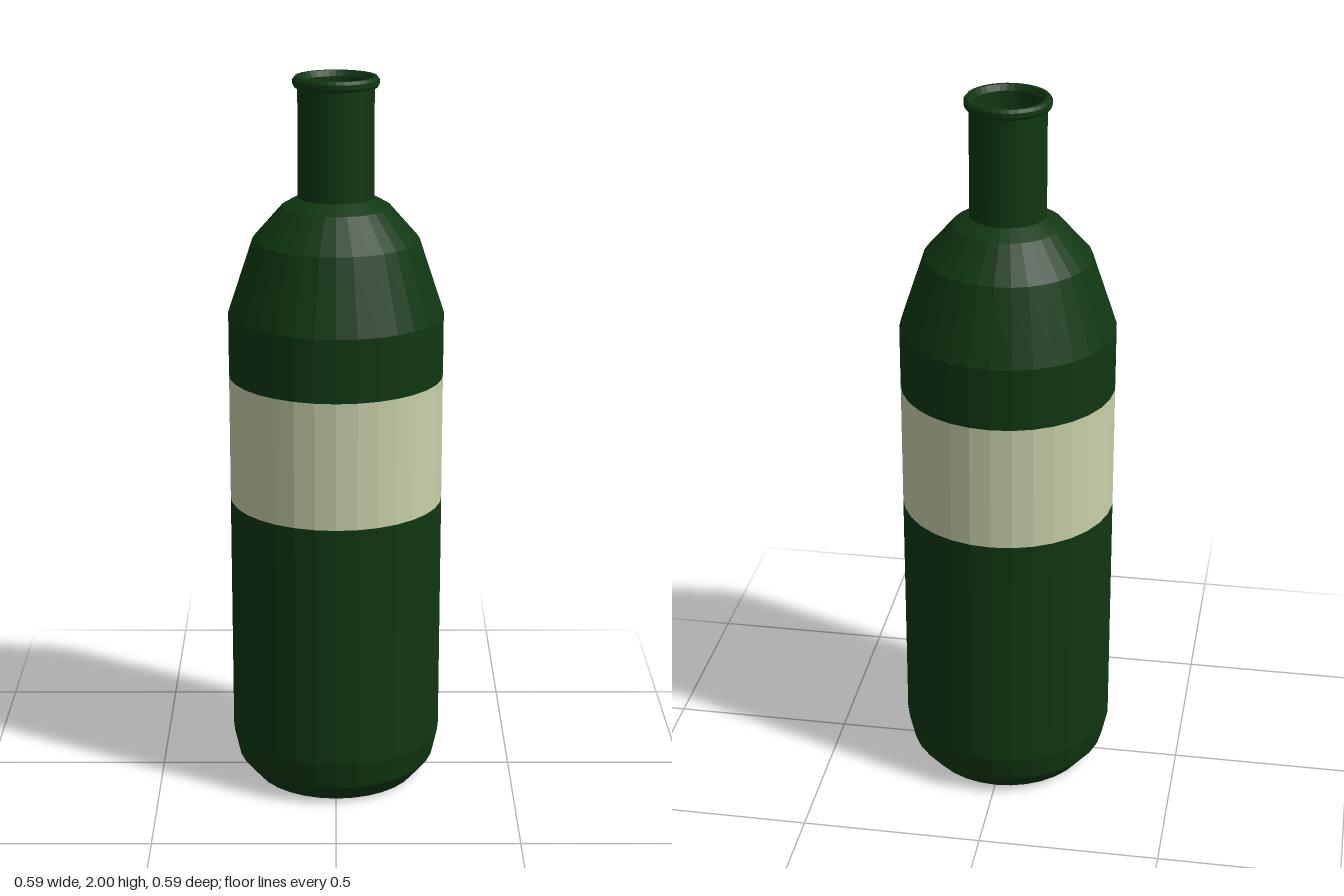
import * as THREE from 'three';

const SIDES = 32;

// Revolved, faceted band; profile points are [radius, height]
function band(name, profile, material) {
  const points = profile.map(([r, y]) => new THREE.Vector2(r, y));
  const mesh = new THREE.Mesh(new THREE.LatheGeometry(points, SIDES), material);
  mesh.name = name;
  return mesh;
}

export function createModel() {
  const bottle = new THREE.Group();
  bottle.name = 'bottle';

  const glass = new THREE.MeshStandardMaterial({ color: 0x103812, flatShading: true, side: THREE.DoubleSide });
  const paper = new THREE.MeshStandardMaterial({ color: 0xc8d0a8, flatShading: true, side: THREE.DoubleSide });

  const R = 0.295;
  const labelBottom = 0.825;
  const labelTop = 1.18;

  bottle.add(
    // Hollow dimple under the base
    band('basePunt', [[0, 0.1], [0.09, 0.095], [0.17, 0.06], [0.232, 0]], glass),
    // Rounded foot and lower wall
    band('lowerBody', [[0.232, 0], [0.278, 0.055], [R, 0.13], [R, labelBottom]], glass),
    // Paper band around the middle
    band('label', [[R, labelBottom], [R, labelTop]], paper),
    // Upper wall and sloping shoulder
    band('shoulder', [[R, labelTop], [R, 1.355], [0.227, 1.56], [0.148, 1.65], [0.103, 1.675]], glass),
    band('neck', [[0.103, 1.675], [0.103, 1.97]], glass),
    // Rolled rim, folded into the mouth
    band('lip', [[0.103, 1.97], [0.112, 1.972], [0.116, 1.98], [0.116, 1.992], [0.11, 2],
      [0.1, 2], [0.09, 1.985], [0.09, 1.675]], glass)
  );
  return bottle;
}
